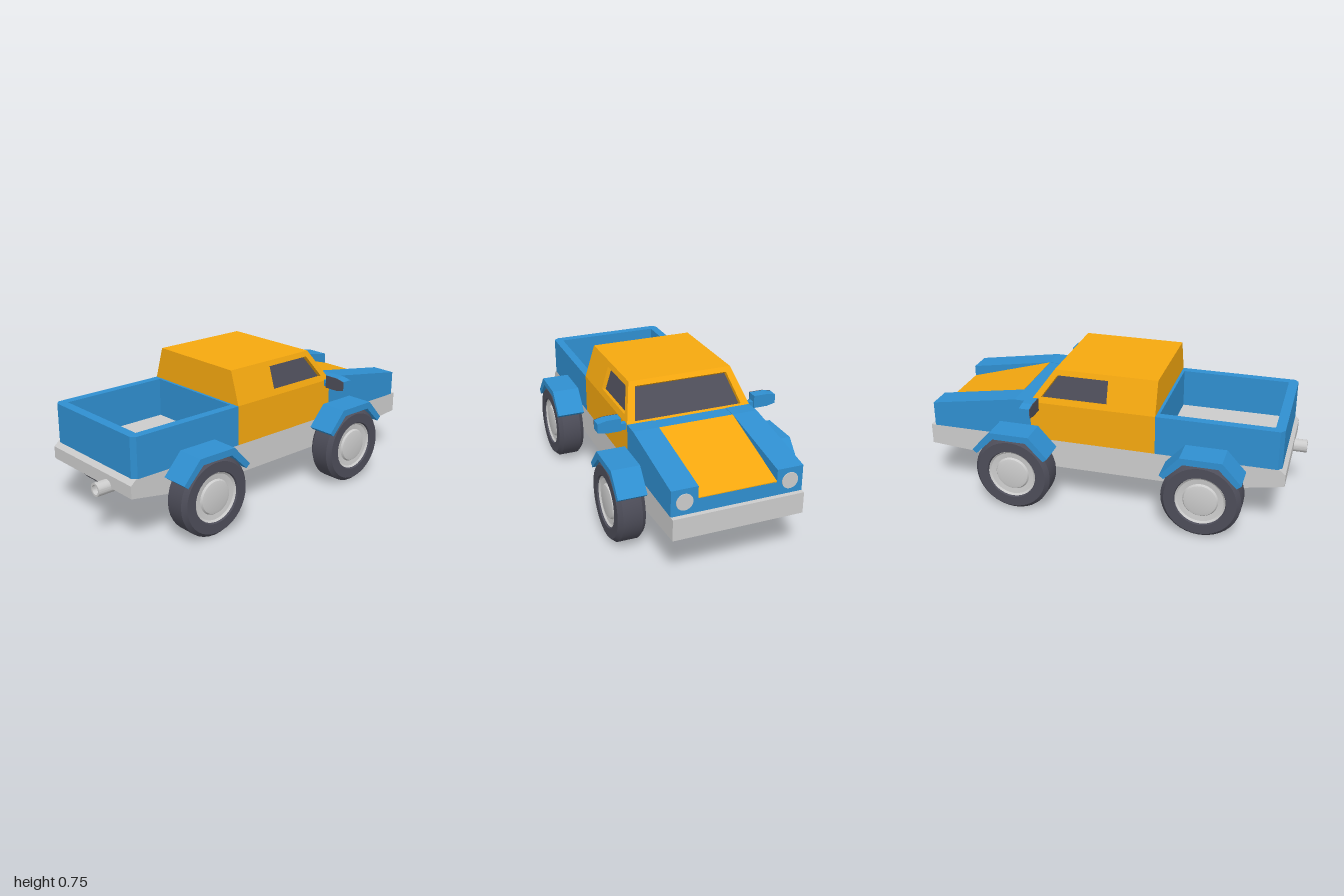
import * as THREE from 'three';
import { toCreasedNormals } from 'three/addons/utils/BufferGeometryUtils.js';

const mat = (color, side = THREE.FrontSide) => new THREE.MeshStandardMaterial({ color, side });
const grey = mat(0xcccccc);
const blue = mat(0x2f8fd0);
const yellow = mat(0xf5a80f);
const yellowThin = mat(0xf5a80f, THREE.DoubleSide);
const dark = mat(0x4d4d59);
const glassMat = mat(0x4d4d59, THREE.DoubleSide);

const W = 0.335; // half width of the body

export function createModel() {
  const model = new THREE.Group();
  model.name = 'pickupTruck';

  const add = (name, geo, material, parent = model) => {
    const mesh = new THREE.Mesh(geo, material);
    mesh.name = name;
    parent.add(mesh);
    return mesh;
  };
  const toShape = (pts) => new THREE.Shape(pts.map(([x, y]) => new THREE.Vector2(x, y)));
  const extrude = (shape, depth) => new THREE.ExtrudeGeometry(shape, { depth, bevelEnabled: false, curveSegments: 24 });

  // Side profile of [z, y] points, extruded across from x0 to x1
  const across = (pts, x0, x1) =>
    extrude(toShape(pts.map(([z, y]) => [-z, y])), x1 - x0).rotateY(Math.PI / 2).translate(x0, 0, 0);

  // Flat four-cornered faces, corners counter-clockwise from outside
  const quads = (list) => {
    const pos = [];
    for (const [a, b, c, d] of list) for (const p of [a, b, c, a, c, d]) pos.push(p.x, p.y, p.z);
    const geo = new THREE.BufferGeometry();
    geo.setAttribute('position', new THREE.Float32BufferAttribute(pos, 3));
    geo.computeVertexNormals();
    return geo;
  };

  // Framed opening with a recessed pane
  const windowPanel = (name, outer, hole, depth) => {
    const n = new THREE.Vector3().crossVectors(
      outer[1].clone().sub(outer[0]), outer[2].clone().sub(outer[0])).normalize();
    const pane = hole.map((p) => p.clone().addScaledVector(n, -depth));
    const frame = [];
    for (let i = 0; i < 4; i++) {
      const j = (i + 1) % 4;
      frame.push([outer[i], outer[j], hole[j], hole[i]], [hole[i], hole[j], pane[j], pane[i]]);
    }
    add(name + 'Frame', quads(frame), yellowThin);
    add(name + 'Glass', quads([pane]), glassMat);
  };

  // Chassis with upswept ends
  add('chassis', across([[-1, 0.255], [-0.4, 0.21], [0.57, 0.21], [0.93, 0.275],
    [0.93, 0.34], [0.9, 0.366], [-1, 0.366]], -W, W), grey);

  // Open cargo bed: a ring of walls with chamfered rear corners
  const bed = toShape([[-W, -0.26], [-W, -0.89], [-0.31, -0.91], [0.31, -0.91], [W, -0.89], [W, -0.26]]);
  bed.holes.push(new THREE.Path([[-0.29, -0.275], [0.29, -0.275], [0.29, -0.86], [-0.29, -0.86]]
    .map(([x, y]) => new THREE.Vector2(x, y))));
  add('bedWalls', extrude(bed, 0.21).rotateX(-Math.PI / 2).translate(0, 0.365, 0), blue);

  // Cab: straight lower body, tapered upper part
  const zBack = 0.26, zFront = -0.415, yLow = 0.575, yTop = 0.75, zRoof = -0.29;
  add('cabLower', across([[zFront, 0.365], [zBack, 0.365], [zBack, yLow], [zFront, yLow]], -W, W), yellow);
  const taper = (y) => W - 0.055 * (y - yLow) / (yTop - yLow);
  const at = (s, y, z) => new THREE.Vector3(s * taper(y), y, z);
  add('cabRoofAndBack', quads([
    [at(-1, yTop, zBack), at(1, yTop, zBack), at(1, yTop, zRoof), at(-1, yTop, zRoof)],
    [at(-1, yLow, zBack), at(1, yLow, zBack), at(1, yTop, zBack), at(-1, yTop, zBack)],
  ]), yellowThin);
  for (const s of [-1, 1]) {
    const outer = [at(s, yLow, zBack), at(s, yLow, zFront), at(s, yTop, zRoof), at(s, yTop, zBack)];
    const hole = [at(s, 0.605, 0), at(s, 0.605, -0.355), at(s, 0.722, -0.272), at(s, 0.722, 0)];
    if (s < 0) { outer.reverse(); hole.reverse(); }
    windowPanel(s > 0 ? 'leftWindow' : 'rightWindow', outer, hole, 0.022);
  }
  const screen = (x, t) => new THREE.Vector3(x, yLow + (yTop - yLow) * t, zFront + (zRoof - zFront) * t);
  windowPanel('windscreen',
    [screen(W, 0), screen(-W, 0), screen(-0.28, 1), screen(0.28, 1)],
    [screen(0.29, 0.06), screen(-0.29, 0.06), screen(-0.25, 0.87), screen(0.25, 0.87)], 0.022);

  // Hood: sunken sloping centre between two higher wings
  add('hoodCentre', across([[-0.415, 0.365], [-0.415, 0.575], [-0.5, 0.575], [-0.975, 0.437], [-0.975, 0.365]], -0.2, 0.2), blue);
  add('hoodPanel', across([[-0.5, 0.57], [-0.5, 0.577], [-0.975, 0.441], [-0.975, 0.434]], -0.2, 0.2), yellow);

  // Tyre and hub profile, the same on both faces of the wheel
  const half = [[0.207, 0.05], [0.187, 0.0725], [0.135, 0.0725], [0.128, 0.058]];
  const tyrePts = [...half.map(([r, x]) => [r, -x]).reverse(), ...half];
  const hubHalf = [[0.13, 0.064], [0.12, 0.056], [0.092, 0.053], [0.085, 0.063], [0.068, 0.067], [0, 0.067]];
  const hubPts = [...hubHalf.map(([r, x]) => [r, -x]).reverse(), ...hubHalf];
  const lathe = (pts) => toCreasedNormals(
    new THREE.LatheGeometry(pts.map(([r, x]) => new THREE.Vector2(r, x)), 36).rotateZ(-Math.PI / 2), 0.5);
  const tyreGeo = lathe(tyrePts), hubGeo = lathe(hubPts);

  // Angular mudguard over a wheel, relative to its centre line
  const guard = [[-0.208, 0.33], [-0.108, 0.44], [0.108, 0.44], [0.208, 0.33],
    [0.185, 0.311], [0.09, 0.405], [-0.09, 0.405], [-0.185, 0.311]];

  for (const s of [-1, 1]) {
    const side = s > 0 ? 'left' : 'right';
    const span = (a, b) => (s > 0 ? [a, b] : [-b, -a]);

    // Hood wing and round headlight
    add(side + 'HoodWing', across([[-0.415, 0.365], [-0.415, 0.577], [-0.5, 0.577], [-0.975, 0.5], [-0.975, 0.365]],
      ...span(0.2, W)), blue);
    add(side + 'Headlight', new THREE.CylinderGeometry(0.042, 0.042, 0.01, 28).rotateX(Math.PI / 2), grey)
      .position.set(s * 0.268, 0.433, -0.974);

    // Wheels and mudguards
    for (const [end, z] of [['front', -0.48], ['rear', 0.53]]) {
      const wheel = new THREE.Group();
      wheel.name = `${side}${end}Wheel`;
      wheel.position.set(s * 0.4085, 0.207, z);
      add('tyre', tyreGeo, dark, wheel);
      add('hub', hubGeo, grey, wheel);
      model.add(wheel);
      add(`${side}${end}Mudguard`, across(guard.map(([dz, y]) => [z - 0.003 + dz, y]), ...span(W - 0.005, 0.485)), blue);
    }

    // Wing mirror
    const head = toShape([[0.365, 0.547], [0.44, 0.547], [0.487, 0.557], [0.487, 0.605], [0.44, 0.615], [0.365, 0.615]]
      .map(([x, y]) => [s * x, y]));
    add(side + 'MirrorHousing', extrude(head, 0.055).translate(0, 0, -0.413), blue);
    add(side + 'MirrorGlass', extrude(head, 0.004).translate(0, 0, -0.358), dark);
    add(side + 'MirrorArm', new THREE.BoxGeometry(0.05, 0.034, 0.03), blue).position.set(s * 0.345, 0.563, -0.388);
  }

  // Exhaust pipe with a dark bore
  const pipe = [[0.012, 0.86], [0.035, 0.9], [0.035, 1], [0.025, 1], [0.025, 0.95]];
  add('exhaustPipe', toCreasedNormals(new THREE.LatheGeometry(pipe.map(([r, z]) => new THREE.Vector2(r, z)), 24)
    .rotateX(Math.PI / 2), 0.5), grey).position.set(0.137, 0.277, 0);
  add('exhaustBore', new THREE.CircleGeometry(0.026, 24), dark).position.set(0.137, 0.277, 0.96);

  return model;
}
